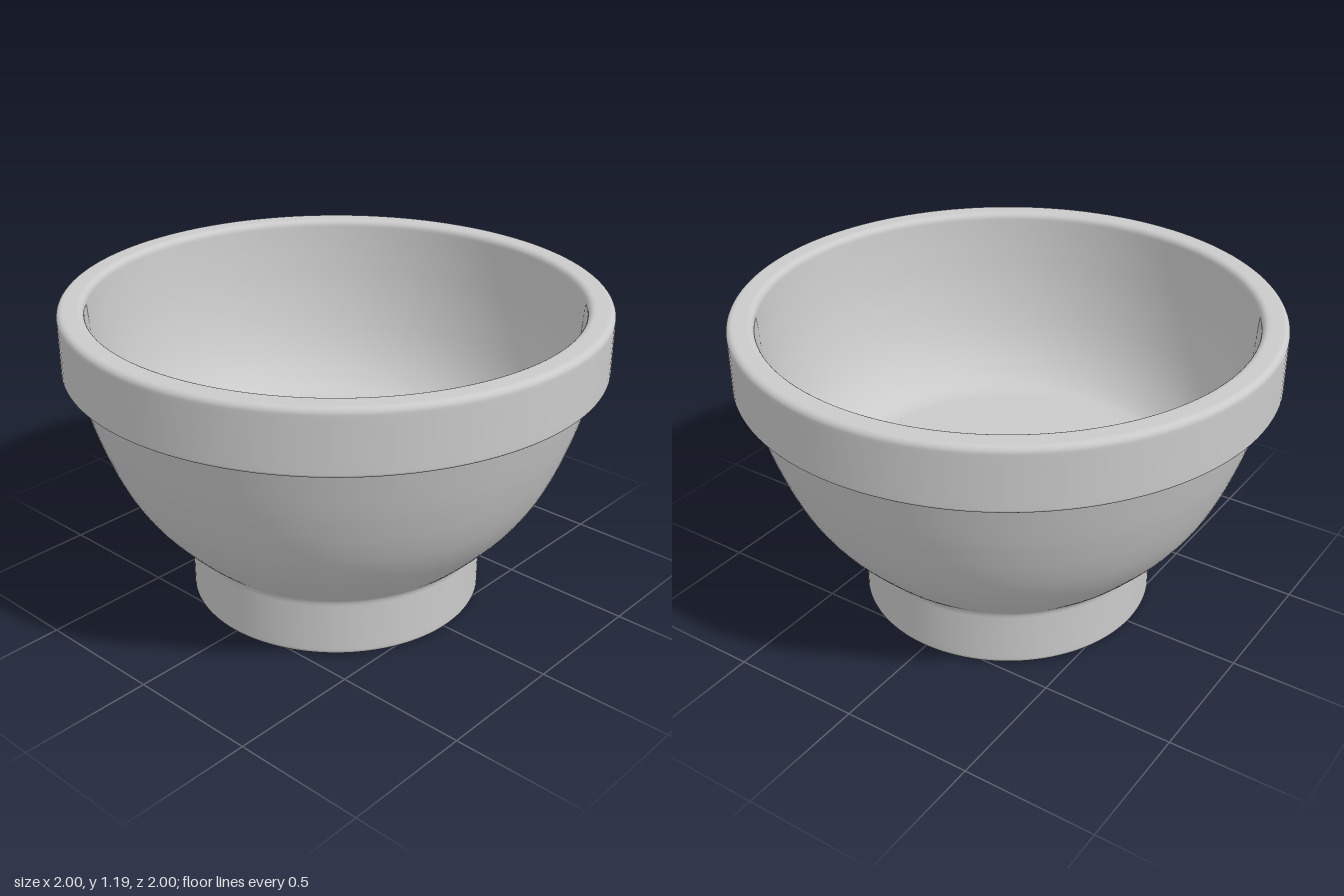
import * as THREE from 'three';

const grey = new THREE.MeshStandardMaterial({ color: 0xcacaca });
grey.name = 'grey clay';

const points = (list) => list.map(([r, y]) => new THREE.Vector2(r, y));
const curve = (list, n) => new THREE.SplineCurve(points(list)).getPoints(n);

// Quarter-round edge from angle a to b (degrees) about a centre
const round = (cx, cy, rad, a, b) => Array.from({ length: 7 }, (_, i) => {
  const t = THREE.MathUtils.degToRad(a + (b - a) * i / 6);
  return new THREE.Vector2(cx + rad * Math.cos(t), cy + rad * Math.sin(t));
});

export function createModel() {
  const group = new THREE.Group();
  group.name = 'bowl';

  const turn = (name, profile) => {
    const mesh = new THREE.Mesh(new THREE.LatheGeometry(profile, 128), grey);
    mesh.name = name;
    group.add(mesh);
  };

  // Solid foot with softened bottom edge, flowing into the curved outer wall
  turn('footAndOuterWall', [
    ...points([[0, 0], [0.535, 0]]),
    ...round(0.54, 0.02, 0.02, -90, 0),
    ...points([[0.56, 0.04], [0.56, 0.21], [0.561, 0.222]]),
    ...curve([
      [0.565, 0.234], [0.635, 0.3], [0.725, 0.4], [0.793, 0.5], [0.842, 0.6],
      [0.88, 0.7], [0.912, 0.8], [0.955, 0.96],
    ], 40),
  ]);

  // Underside of the rim band
  turn('rimUnderside', points([[0.945, 0.952], [0.986, 0.952]]));

  // Thick rim band with rounded edges
  turn('rim', [
    ...round(0.986, 0.964, 0.012, -90, 0),
    ...points([[0.998, 0.99], [0.998, 1.15]]),
    ...round(0.975, 1.163, 0.023, 0, 90),
    ...points([[0.965, 1.186], [0.935, 1.186]]),
    ...round(0.925, 1.161, 0.025, 90, 180),
  ]);

  // Hollow inside, curving down to a flat floor
  turn('innerWall', [
    ...curve([
      [0.9, 1.161], [0.889, 1.05], [0.865, 0.9], [0.823, 0.75], [0.772, 0.64],
      [0.71, 0.56], [0.65, 0.515], [0.59, 0.5],
    ], 40),
    ...points([[0.57, 0.5], [0, 0.5]]),
  ]);

  return group;
}
